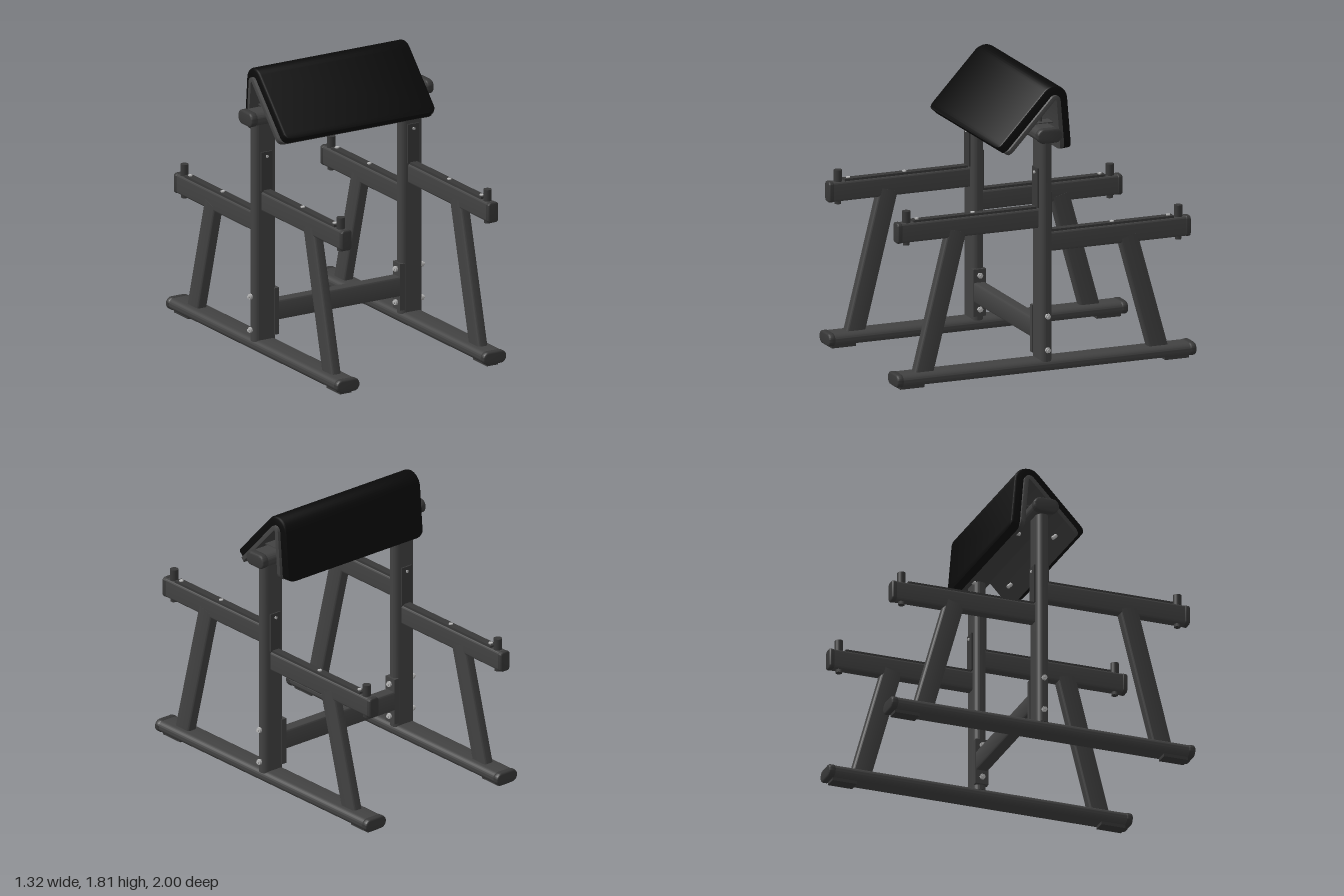
import * as THREE from 'three';
import { toCreasedNormals } from 'three/addons/utils/BufferGeometryUtils.js';

const mat = (name, color, side = THREE.FrontSide) => {
  const m = new THREE.MeshStandardMaterial({ color, side });
  m.name = name;
  return m;
};

export function createModel() {
  const frame = mat('frame grey', 0x424242);
  const dark = mat('dark cap grey', 0x383838);
  const black = mat('pad black', 0x0a0a0a);
  const steel = mat('bolt steel', 0xb8b8b8);
  const model = new THREE.Group();

  function add(name, geo, material, pos, parent = model) {
    const m = new THREE.Mesh(geo, material);
    m.name = name;
    m.position.set(...pos);
    parent.add(m);
    return m;
  }

  // Rounded-section bar running along z, centred on the origin
  function bar(w, h, len, r, bevel = 0) {
    const x = w / 2 - bevel, y = h / 2 - bevel;
    const k = Math.max(Math.min(r - bevel, x - 0.0005, y - 0.0005), 0.002);
    const s = new THREE.Shape();
    s.moveTo(-x + k, -y);
    s.lineTo(x - k, -y);
    s.absarc(x - k, -y + k, k, -Math.PI / 2, 0);
    s.lineTo(x, y - k);
    s.absarc(x - k, y - k, k, 0, Math.PI / 2);
    s.lineTo(-x + k, y);
    s.absarc(-x + k, y - k, k, Math.PI / 2, Math.PI);
    s.lineTo(-x, -y + k);
    s.absarc(-x + k, -y + k, k, Math.PI, Math.PI * 1.5);
    const g = new THREE.ExtrudeGeometry(s, {
      depth: len - 2 * bevel, curveSegments: 8, bevelEnabled: bevel > 0,
      bevelSize: bevel, bevelThickness: bevel, bevelSegments: 3,
    });
    g.translate(0, 0, -len / 2 + bevel);
    return toCreasedNormals(g, 0.6);
  }

  // Sheet folded over a ridge: straight front flap, arc, straight back flap
  function folded(halfW, rIn, rOut, edge, corner, trim) {
    const cz = -0.076, cy = 1.723, a0 = 0.754, a1 = 3.058;
    const front = 0.453 - trim, back = 0.325 - trim;
    const insets = [0, 0.25, 0.5, 0.75, 1].map((t) => {
      const a = t * Math.PI / 2;
      return [corner * (1 - Math.cos(a)), corner * (1 - Math.sin(a))];
    });
    const stations = insets.map(([e, i]) => [a0, front - e, i]);
    for (let i = 0; i <= 14; i++) stations.push([a0 + (a1 - a0) * i / 14, 0, 0]);
    insets.reverse().forEach(([e, i]) => stations.push([a1, -(back - e), i]));
    const pos = [], idx = [], n = 8;
    for (const [a, s, inset] of stations) {
      const w = halfW - inset;
      const ring = [[-w, rIn], [w, rIn], [w, rOut - edge], [w - edge * 0.3, rOut - edge * 0.3],
        [w - edge, rOut], [-w + edge, rOut], [-w + edge * 0.3, rOut - edge * 0.3], [-w, rOut - edge]];
      for (const [x, r] of ring) {
        pos.push(x, cy + r * Math.sin(a) - s * Math.cos(a), cz + r * Math.cos(a) + s * Math.sin(a));
      }
    }
    const last = (stations.length - 1) * n;
    for (let i = 0; i < last; i += n) {
      for (let j = 0; j < n; j++) {
        const k = (j + 1) % n;
        idx.push(i + j, i + n + j, i + n + k, i + j, i + n + k, i + k);
      }
    }
    for (let j = 1; j < n - 1; j++) idx.push(0, j, j + 1, last, last + j + 1, last + j);
    const g = new THREE.BufferGeometry();
    g.setAttribute('position', new THREE.Float32BufferAttribute(pos, 3));
    g.setIndex(idx);
    return toCreasedNormals(g, 0.6);
  }

  const box = (x, y, z) => new THREE.BoxGeometry(x, y, z);
  const cyl = (r, h, n = 20) => new THREE.CylinderGeometry(r, r, h, n);

  // Folded pad and its backing board
  add('armPad', folded(0.545, 0.033, 0.09, 0.014, 0.04, 0), black, [0, 0, 0]);
  add('padBackingBoard', folded(0.565, 0.006, 0.034, 0.003, 0.04, 0.008), frame, [0, 0, 0]);

  // Bars between the two sides
  add('topCrossbar', bar(0.16, 0.085, 1.24, 0.042), frame, [0, 1.53, 0]).rotation.y = Math.PI / 2;
  add('lowerCrossbar', bar(0.08, 0.125, 0.88, 0.012), frame, [0, 0.268, 0]).rotation.y = Math.PI / 2;

  for (const side of [1, -1]) {
    const g = new THREE.Group();
    g.name = side > 0 ? 'leftSide' : 'rightSide';
    g.position.x = side * 0.53;
    model.add(g);

    // Base rail, end caps and feet
    add('baseRail', bar(0.16, 0.076, 1.92, 0.038), frame, [0, 0.058, 0], g);
    for (const e of [1, -1]) {
      add('railCap', bar(0.166, 0.082, 0.045, 0.04, 0.012), dark, [0, 0.058, e * 0.977], g);
      add('foot', box(0.08, 0.022, 0.16), dark, [0, 0.011, e * 0.885], g);
    }

    // Upright post and crossbar end cap
    add('upright', bar(0.16, 0.08, 1.42, 0.039), frame, [0, 0.795, 0], g).rotation.x = Math.PI / 2;
    add('crossbarCap', bar(0.166, 0.092, 0.05, 0.045, 0.012), dark, [side * 0.105, 1.53, 0], g)
      .rotation.y = Math.PI / 2;
    add('padMountPlate', box(0.08, 0.008, 0.165), frame, [side * -0.06, 1.574, 0], g);
    add('padMountBolt', cyl(0.01, 0.04, 12), dark, [side * -0.06, 1.59, -0.015], g);

    // Lower bracket with through bolts
    add('lowerBracket', box(0.035, 0.3, 0.085), frame, [side * -0.075, 0.265, 0], g);
    for (const y of [0.16, 0.375]) {
      add('throughBolt', cyl(0.009, 0.225, 12), steel, [side * -0.005, y, 0], g).rotation.z = Math.PI / 2;
      for (const x of [0.09, -0.1]) {
        add('boltNut', cyl(0.018, 0.016, 6), steel, [side * x, y, 0], g).rotation.z = Math.PI / 2;
      }
    }

    // Front arm is high, rear arm is low
    for (const [dir, name, y, footZ, topZ] of [[1, 'front', 0.988, 0.802, 0.578], [-1, 'rear', 0.833, 0.768, 0.565]]) {
      add(name + 'Arm', bar(0.068, 0.124, 0.93, 0.014), frame, [0, y, dir * 0.495], g);
      add(name + 'ArmCap', bar(0.074, 0.13, 0.035, 0.02, 0.01), dark, [0, y, dir * 0.963], g);

      // Slanted leg
      const a = new THREE.Vector3(0, 0.08, dir * footZ), b = new THREE.Vector3(0, y - 0.02, dir * topZ);
      const leg = add(name + 'Leg', bar(0.07, 0.127, a.distanceTo(b), 0.02), frame,
        a.clone().add(b).multiplyScalar(0.5).toArray(), g);
      leg.rotation.x = -Math.atan2(b.y - a.y, b.z - a.z);

      // Strip along the arm, turned up the post
      add(name + 'ArmStrip', box(0.05, 0.014, 0.82), dark, [0, y + 0.068, dir * 0.46], g);
      add(name + 'PostPlate', box(0.08, 0.25, 0.012), dark, [0, y + 0.195, dir * 0.044], g);
      for (const z of [0.465, 0.84]) {
        add('stripBolt', cyl(0.014, 0.008, 6), steel, [0, y + 0.078, dir * z], g);
      }
      add('plateBolt', cyl(0.01, 0.008, 6), steel, [0, y + 0.29, dir * 0.053], g).rotation.x = Math.PI / 2;

      // Stop peg with its fixing underneath
      add('stopPeg', cyl(0.026, 0.08), dark, [0, y + 0.094, dir * 0.908], g);
      add('pegNut', cyl(0.022, 0.025, 6), dark, [0, y - 0.07, dir * 0.908], g);
    }

    // Screws under the pad flaps
    for (const [z, y, tilt] of [[0.163, 1.463, 0.82], [-0.092, 1.44, 1.65]]) {
      add('padScrew', cyl(0.012, 0.05, 8), steel, [side * -0.15, y, z], g).rotation.x = tilt;
    }
  }
  return model;
}
